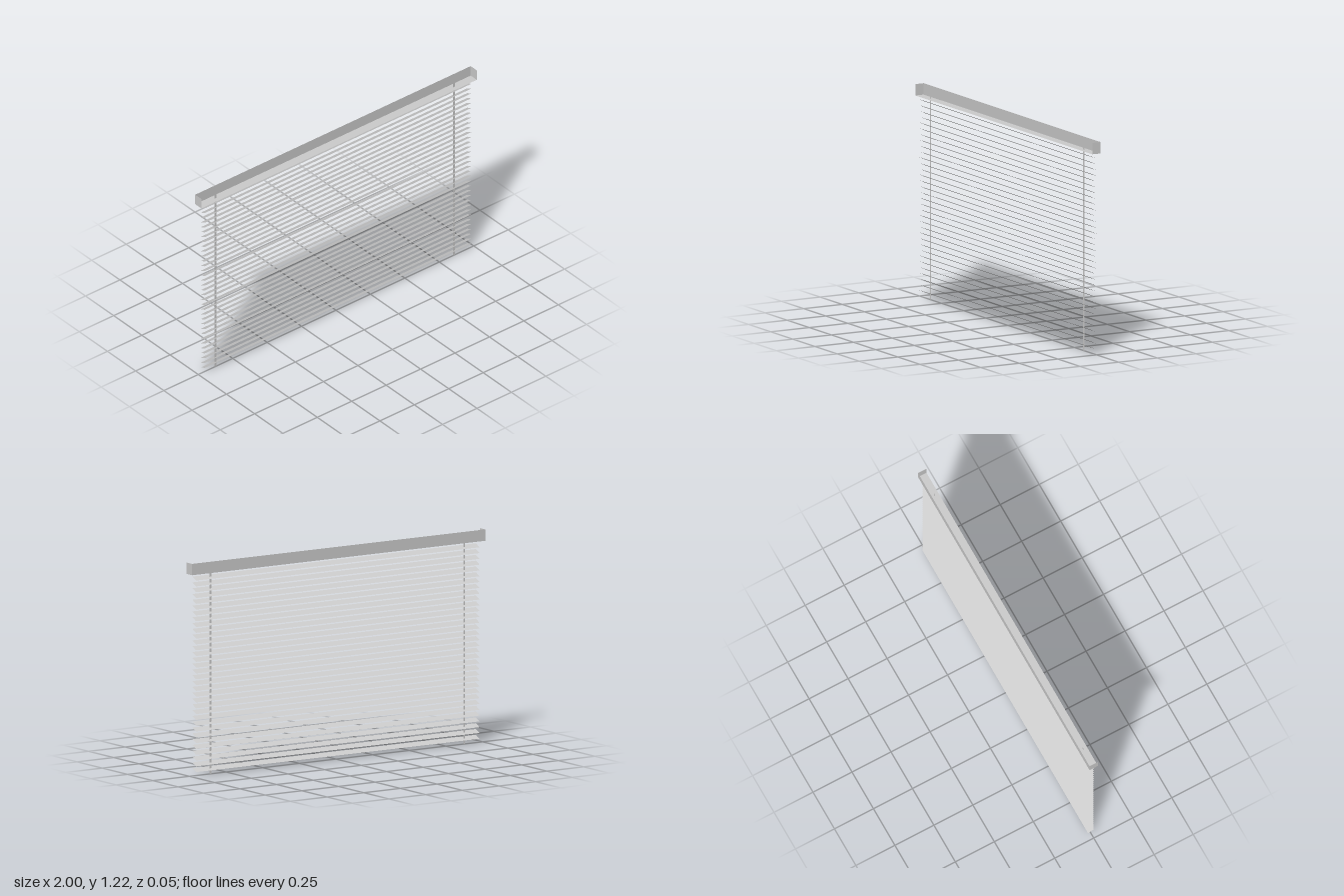
import * as THREE from 'three';

const material = new THREE.MeshStandardMaterial({ color: 0xcccccc, side: THREE.DoubleSide });

// Thin flat sheet, turned by rx and ry about its centre
function sheet(name, width, height, [x, y, z], rx = 0, ry = 0) {
  const mesh = new THREE.Mesh(new THREE.PlaneGeometry(width, height), material);
  mesh.name = name;
  mesh.position.set(x, y, z);
  mesh.rotation.set(rx, ry, 0);
  return mesh;
}

export function createModel() {
  const blind = new THREE.Group();
  blind.name = 'windowBlind';

  // Head rail: folded channel, open at the front and top
  const railBottom = 1.15, railHeight = 0.065, railDepth = 0.054;
  const railMiddle = railBottom + railHeight / 2;
  const rail = new THREE.Group();
  rail.name = 'headRail';
  rail.add(sheet('railBack', 2, railHeight, [0, railMiddle, -railDepth / 2], 0, Math.PI));
  rail.add(sheet('railFloor', 2, railDepth, [0, railBottom, 0], -Math.PI / 2));
  for (const side of [-1, 1]) {
    rail.add(sheet('railEnd', railDepth, railHeight, [side, railMiddle, 0], 0, side * Math.PI / 2));
  }
  blind.add(rail);

  // Slats: evenly spaced, tilted with the front edge raised
  const slatCount = 34, lowest = 0.032, highest = 1.124;
  const tilt = THREE.MathUtils.degToRad(25);
  const slats = new THREE.Group();
  slats.name = 'slats';
  for (let i = 0; i < slatCount; i++) {
    const y = lowest + (highest - lowest) * i / (slatCount - 1);
    slats.add(sheet('slat', 1.934, 0.041, [0, y, 0], -Math.PI / 2 - tilt));
  }
  blind.add(slats);

  // Ladder tapes: flat strips running from inside the rail to the bottom
  for (const x of [-0.875, 0.856]) {
    blind.add(sheet('ladderTape', 0.013, 1.18, [x, 0.59, 0]));
  }
  return blind;
}
